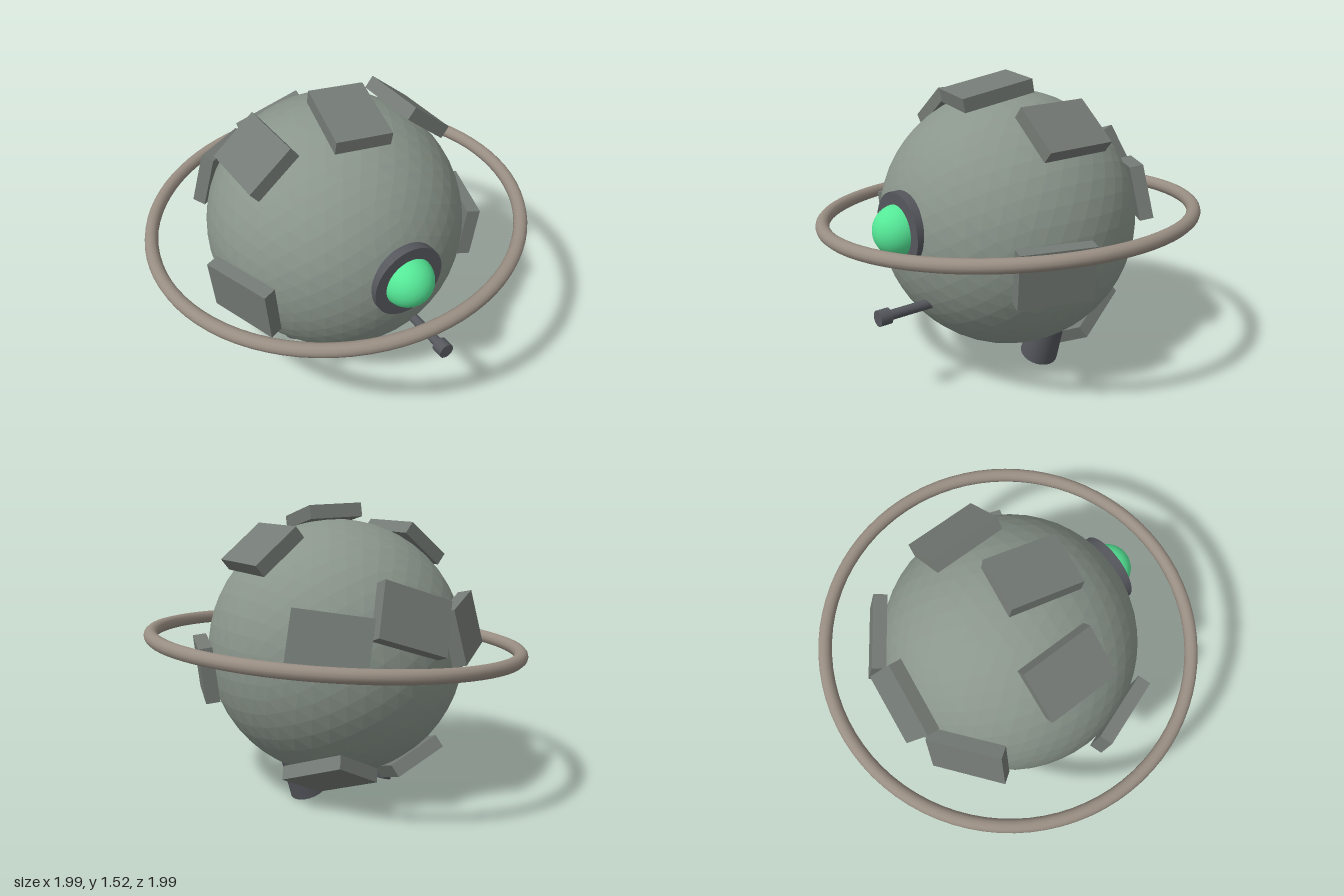
import * as THREE from 'three';

const CENTRE_Y = 0.77;
const RADIUS = 0.67;

const paint = (color, flatShading = false) => new THREE.MeshStandardMaterial({ color, flatShading });

export function createModel() {
  const model = new THREE.Group();
  const hull = paint(0x8a958b, true);
  const armour = paint(0x747a75, true);
  const dark = paint(0x55575d);
  const glow = paint(0x55e897);
  const bronze = paint(0x998e83);

  function add(name, geometry, material, x, y, z) {
    const mesh = new THREE.Mesh(geometry, material);
    mesh.name = name;
    mesh.position.set(x, y, z);
    model.add(mesh);
    return mesh;
  }

  // Faceted spherical body
  add('body', new THREE.IcosahedronGeometry(RADIUS, 8), hull, 0, CENTRE_Y, 0);

  // Tilted orbiting ring
  const ring = add('ring', new THREE.TorusGeometry(0.96, 0.035, 12, 80).rotateX(Math.PI / 2), bronze, 0, 0.81, 0);
  ring.rotation.z = 0.07;

  // Eye: dark socket disc with a glowing ball
  add('eyeSocket', new THREE.CylinderGeometry(0.19, 0.19, 0.05, 40).rotateX(Math.PI / 2), dark, 0, 0.828, 0.647);
  add('eye', new THREE.SphereGeometry(0.13, 32, 20), glow, 0, 0.828, 0.66);

  // Short probe below the eye
  add('probeRod', new THREE.CylinderGeometry(0.025, 0.025, 0.28, 16).rotateX(Math.PI / 2), dark, 0.115, 0.46, 0.67);
  add('probeTip', new THREE.CylinderGeometry(0.04, 0.04, 0.06, 20).rotateX(Math.PI / 2), dark, 0.115, 0.46, 0.83);

  // Stubby legs, splayed towards the top
  for (const side of [-1, 1]) {
    const leg = add('leg', new THREE.CylinderGeometry(0.085, 0.1, 0.22, 24), dark, side * 0.245, 0.14, -0.055);
    leg.rotation.z = -side * 0.35;
  }

  // Armour plate lying on the body: outward direction and direction of its long side
  const plateGeometry = new THREE.BoxGeometry(0.38, 0.07, 0.28);
  function addPlate(name, outward, along) {
    const n = new THREE.Vector3(...outward).normalize();
    const l = new THREE.Vector3(...along).projectOnPlane(n).normalize();
    const p = n.clone().multiplyScalar(0.692);
    const plate = add(name, plateGeometry, armour, p.x, p.y + CENTRE_Y, p.z);
    plate.quaternion.setFromRotationMatrix(new THREE.Matrix4().makeBasis(l, n, l.clone().cross(n)));
  }

  addPlate('topPlate', [0, 0.98, 0.19], [-0.07, -0.07, 0.38]);
  addPlate('backPlate', [0, 0.34, -0.94], [0.36, 0.12, 0.055]);
  for (const s of [-1, 1]) {
    addPlate('shoulderPlate', [s * 0.63, 0.78, 0], [0, 0, 1]);
    addPlate('sidePlate', [s * 0.94, -0.11, 0.325], [-s * 0.33, 0, 0.94]);
    addPlate('rearSidePlate', [s * 0.39, 0.15, -0.555], [s * 0.82, 0.13, 0.57]);
    addPlate('undersidePlate', [s * 0.35, -0.82, -0.46], [-s * 0.13, 0.13, -0.35]);
  }

  return model;
}
